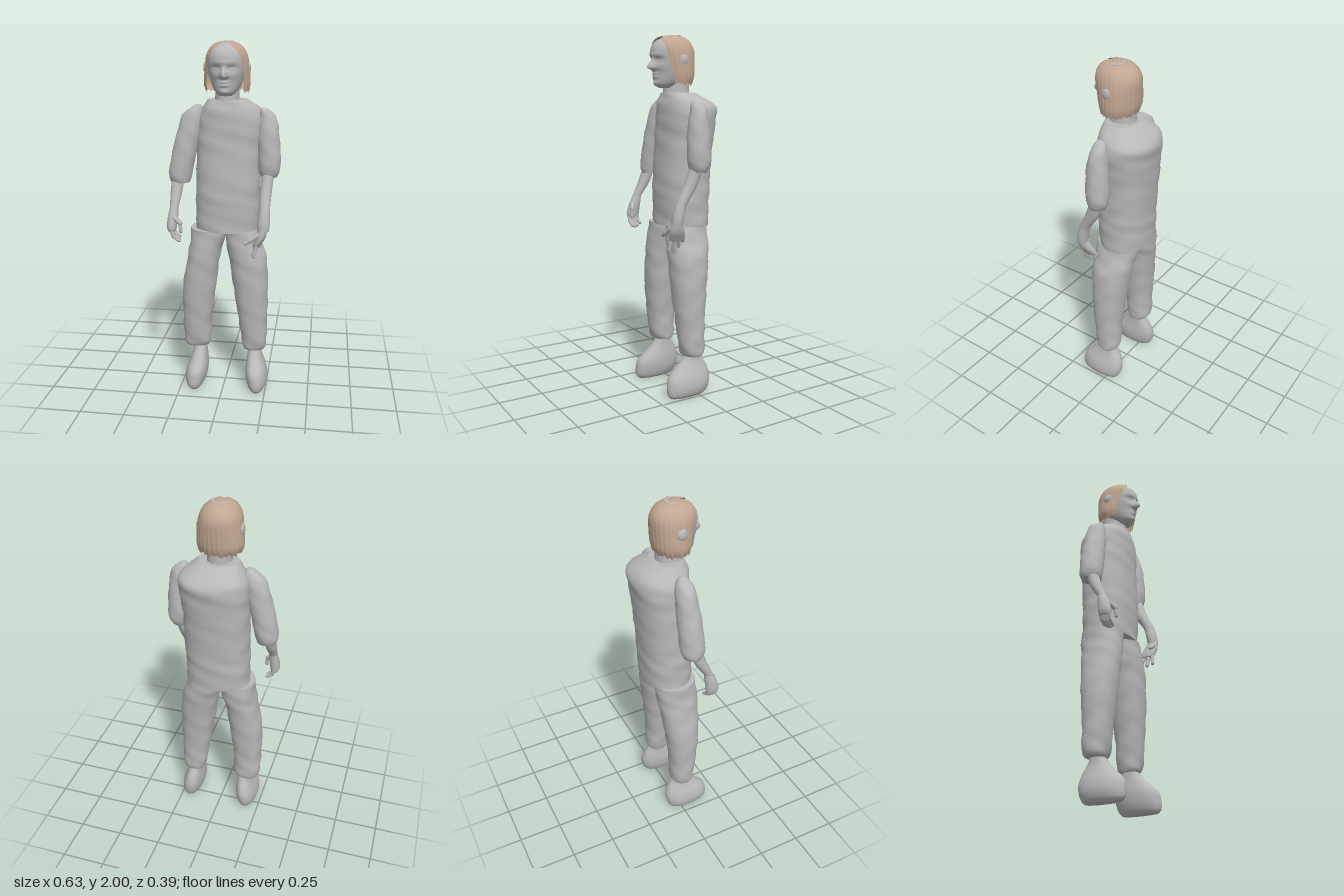
import * as THREE from 'three';

const grey = new THREE.MeshStandardMaterial({ color: 0xb8b8b8 });
grey.name = 'plainGrey';
const tan = new THREE.MeshStandardMaterial({ color: 0xc2a692, side: THREE.DoubleSide });
tan.name = 'hairTan';

const CX = 0.012; // middle of the face
const gauss = (d, w) => Math.exp(-(d * d) / (w * w));

// Catmull-Rom blend of one number of four neighbouring sections
const blend = (a, b, c, d, t) =>
  b + 0.5 * t * (c - a + t * (2 * a - 5 * b + 4 * c - d + t * (3 * (b - c) + d - a)));

// Skin over horizontal sections [y, x0, x1, z0, z1, frontGapDegrees]
function loft(sections, { power = 2, sides = 32, steps = 6, warp = null, open = false } = {}) {
  const s = [...sections].sort((a, b) => a[0] - b[0]);
  const pick = (i) => s[Math.min(Math.max(i, 0), s.length - 1)];
  const pos = [], index = [], rows = (s.length - 1) * steps + 1;
  const cols = open ? sides + 1 : sides;
  const bend = (v) => Math.sign(v) * Math.abs(v) ** (2 / power);
  for (let r = 0; r < rows; r++) {
    const i = Math.min(Math.floor(r / steps), s.length - 2), t = r / steps - i;
    const [y, x0, x1, z0, z1, gap = 0] = s[0].map((_, k) =>
      blend(pick(i - 1)[k], pick(i)[k], pick(i + 1)[k], pick(i + 2)[k], t));
    const g = THREE.MathUtils.degToRad(gap);
    for (let j = 0; j < cols; j++) {
      const a = g + (j / sides) * (2 * Math.PI - 2 * g);
      const p = new THREE.Vector3(
        (x0 + x1) / 2 + ((x1 - x0) / 2) * bend(Math.sin(a)), y,
        (z0 + z1) / 2 + ((z1 - z0) / 2) * bend(Math.cos(a)));
      if (warp) warp(p, a, r / (rows - 1));
      pos.push(p.x, p.y, p.z);
    }
  }
  for (let r = 0; r < rows - 1; r++) {
    for (let j = 0; j < sides; j++) {
      const a = r * cols + j, b = r * cols + ((j + 1) % cols);
      index.push(a, b, b + cols, a, b + cols, a + cols);
    }
  }
  // End caps with their own rim so the edge stays sharp
  if (!open) {
    for (const [row, flip] of [[0, true], [rows - 1, false]]) {
      const start = pos.length / 3, c = [0, 0, 0];
      for (let j = 0; j < cols; j++) {
        for (let k = 0; k < 3; k++) {
          const v = pos[(row * cols + j) * 3 + k];
          c[k] += v / cols;
          pos.push(v);
        }
      }
      pos.push(...c);
      for (let j = 0; j < cols; j++) {
        const a = start + j, b = start + ((j + 1) % cols);
        index.push(start + cols, flip ? b : a, flip ? a : b);
      }
    }
  }
  const geo = new THREE.BufferGeometry();
  geo.setAttribute('position', new THREE.Float32BufferAttribute(pos, 3));
  geo.setIndex(index);
  geo.computeVertexNormals();
  return geo;
}

// Gentle cloth folds
const folds = (amount) => (p, a) => {
  const f = amount * (Math.sin(p.y * 41 + 2 * Math.sin(2 * a)) + Math.sin(p.y * 67 + 3 * a));
  p.x += f * Math.sin(a);
  p.z += f * Math.cos(a);
};

// Brow, eyes, nose, lips and chin raised from the front of the head
function faceRelief(p, a) {
  if (Math.cos(a) <= 0) return;
  const x = p.x - CX, y = p.y, front = Math.cos(a) ** 0.5;
  const up = THREE.MathUtils.smoothstep;
  const nose = up(y, 1.802, 1.82) * (1 - up(y, 1.82, 1.885));
  let d = 0.042 * nose * gauss(x, 0.011 + 0.008 * nose);
  d += 0.005 * gauss(y - 1.89, 0.014) * gauss(x, 0.07);
  for (const side of [-1, 1]) {
    d -= 0.013 * gauss(x - side * 0.043, 0.025) * gauss(y - 1.862, 0.015);
    d += 0.007 * gauss(x - side * 0.043, 0.014) * gauss(y - 1.86, 0.008);
    d += 0.005 * gauss(x - side * 0.05, 0.025) * gauss(y - 1.82, 0.022);
  }
  d += 0.009 * gauss(x, 0.028) * (gauss(y - 1.79, 0.006) + gauss(y - 1.773, 0.007));
  d += 0.008 * gauss(x, 0.025) * gauss(y - 1.738, 0.014);
  p.z += d * front;
}

export function createModel() {
  const model = new THREE.Group();
  const add = (name, geo, material = grey) => {
    const mesh = new THREE.Mesh(geo, material);
    mesh.name = name;
    model.add(mesh);
    return mesh;
  };
  const finger = (name, from, to, radius) => {
    const a = new THREE.Vector3(...from), b = new THREE.Vector3(...to);
    const dir = b.clone().sub(a);
    const m = add(name, new THREE.CapsuleGeometry(radius, dir.length(), 5, 10));
    m.position.copy(a).add(b).multiplyScalar(0.5);
    m.quaternion.setFromUnitVectors(new THREE.Vector3(0, 1, 0), dir.normalize());
  };

  // Body
  add('torso', loft([
    [0.955, -0.17, 0.19, -0.15, 0.12], [1.08, -0.17, 0.193, -0.155, 0.125],
    [1.2, -0.168, 0.195, -0.16, 0.127], [1.4, -0.165, 0.2, -0.175, 0.117],
    [1.53, -0.163, 0.215, -0.187, 0.113], [1.6, -0.155, 0.215, -0.193, 0.11],
    [1.64, -0.135, 0.19, -0.165, 0.108], [1.67, -0.11, 0.15, -0.115, 0.1],
    [1.69, -0.095, 0.125, -0.08, 0.092]], { power: 2.3, sides: 48, warp: folds(0.0016) }));
  add('neck', loft([
    [1.65, -0.06, 0.085, -0.065, 0.095], [1.7, -0.055, 0.078, -0.06, 0.088],
    [1.77, -0.052, 0.075, -0.06, 0.085]]));

  // Head
  add('head', loft([
    [1.715, -0.02, 0.045, 0.05, 0.115], [1.727, -0.036, 0.06, 0.02, 0.14],
    [1.75, -0.056, 0.08, -0.03, 0.15], [1.8, -0.077, 0.101, -0.06, 0.152],
    [1.86, -0.09, 0.113, -0.072, 0.162], [1.92, -0.088, 0.112, -0.072, 0.165],
    [1.96, -0.07, 0.094, -0.05, 0.142], [1.983, -0.04, 0.064, -0.02, 0.1],
    [1.992, -0.01, 0.03, 0.02, 0.06]], { sides: 96, steps: 10, warp: faceRelief }));

  // Hair shell, open over the face, with strands and a ragged hem
  add('hair', loft([
    [1.735, -0.1, 0.13, -0.062, 0.13, 60], [1.78, -0.113, 0.138, -0.077, 0.137, 55],
    [1.86, -0.106, 0.135, -0.083, 0.152, 50], [1.92, -0.098, 0.125, -0.083, 0.165, 47],
    [1.96, -0.08, 0.106, -0.065, 0.153, 36], [1.987, -0.05, 0.075, -0.035, 0.12, 18],
    [1.997, -0.018, 0.04, 0.005, 0.075, 4], [2, 0.01, 0.014, 0.038, 0.042, 0]], {
    sides: 96, open: true,
    warp: (p, a, t) => {
      const f = 0.0015 * Math.sin(a * 29) * (1 - t);
      p.x += f * Math.sin(a);
      p.z += f * Math.cos(a);
      p.y += 0.009 * Math.sin(a * 17) * Math.sin(a * 7) * Math.max(0, 1 - t * 5);
    } }), tan);
  for (const [name, x] of [['rightEar', -0.098], ['leftEar', 0.123]]) {
    const ear = add(name, new THREE.SphereGeometry(1, 20, 14));
    ear.scale.set(0.018, 0.034, 0.03);
    ear.position.set(x, 1.86, 0.035);
  }
  const parting = add('scalpParting', new THREE.TorusGeometry(0.034, 0.011, 8, 20, Math.PI));
  parting.geometry.rotateX(-Math.PI / 2).scale(1.1, 0.4, 1);
  parting.position.set(0.022, 1.994, 0.042);

  // Sleeves
  add('leftSleeve', loft([
    [1.645, 0.2, 0.225, 0, 0.03], [1.63, 0.19, 0.25, -0.02, 0.045],
    [1.59, 0.183, 0.282, -0.033, 0.055], [1.5, 0.18, 0.3, -0.042, 0.074],
    [1.36, 0.182, 0.31, -0.05, 0.08], [1.3, 0.188, 0.305, -0.043, 0.073],
    [1.265, 0.205, 0.288, -0.025, 0.06]], { warp: folds(0.001) }));
  add('rightSleeve', loft([
    [1.66, -0.165, -0.135, 0, 0.03], [1.64, -0.195, -0.125, -0.025, 0.045],
    [1.6, -0.24, -0.12, -0.04, 0.06], [1.5, -0.272, -0.138, -0.048, 0.075],
    [1.38, -0.302, -0.165, -0.05, 0.085], [1.27, -0.318, -0.188, -0.045, 0.088],
    [1.225, -0.308, -0.2, -0.03, 0.078]], { warp: folds(0.001) }));

  // Forearms and palms
  add('leftForearm', loft([
    [1.32, 0.212, 0.278, -0.01, 0.055], [1.2, 0.2, 0.268, 0.02, 0.1],
    [1.1, 0.203, 0.262, 0.085, 0.148], [1.03, 0.195, 0.265, 0.105, 0.168],
    [0.985, 0.198, 0.26, 0.112, 0.172]]));
  add('leftPalm', loft([
    [1, 0.205, 0.252, 0.115, 0.172], [0.95, 0.188, 0.243, 0.09, 0.178],
    [0.91, 0.173, 0.222, 0.075, 0.17], [0.89, 0.17, 0.21, 0.078, 0.162]]));
  add('rightForearm', loft([
    [1.27, -0.298, -0.225, 0, 0.065], [1.17, -0.303, -0.239, 0.032, 0.1],
    [1.09, -0.3, -0.252, 0.085, 0.135], [1.06, -0.302, -0.252, 0.092, 0.145]]));
  add('rightPalm', loft([
    [1.09, -0.3, -0.252, 0.085, 0.135], [1.04, -0.31, -0.252, 0.09, 0.158],
    [0.99, -0.312, -0.258, 0.095, 0.172], [0.965, -0.306, -0.262, 0.098, 0.168]]));

  // Fingers and thumbs
  for (let i = 0; i < 4; i++) {
    const z = 0.087 + i * 0.023, drop = [0.03, 0.01, 0, 0.008][i];
    finger('leftFinger', [0.193, 0.9, z], [0.165 + i * 0.005, 0.835 + drop, z - 0.028 + i * 0.012], 0.0105);
    const zr = 0.108 + i * 0.017;
    finger('rightFinger', [-0.285, 0.975, zr], [-0.272, 0.935 + drop * 0.4, zr], 0.0105);
    finger('rightFingertip', [-0.272, 0.935 + drop * 0.4, zr], [-0.245, 0.912 + drop * 0.6, zr], 0.0095);
  }
  finger('leftThumb', [0.2, 0.965, 0.163], [0.158, 0.935, 0.173], 0.013);
  finger('leftThumbTip', [0.158, 0.935, 0.173], [0.133, 0.92, 0.175], 0.01);
  finger('rightThumb', [-0.27, 1.045, 0.145], [-0.232, 1.02, 0.166], 0.013);
  finger('rightThumbTip', [-0.232, 1.02, 0.166], [-0.227, 0.975, 0.17], 0.01);

  // Trouser legs
  add('rightLeg', loft([
    [0.96, -0.198, 0.012, -0.12, 0.115], [0.88, -0.203, -0.008, -0.118, 0.122],
    [0.78, -0.218, -0.033, -0.103, 0.124], [0.6, -0.248, -0.055, -0.08, 0.115],
    [0.4, -0.248, -0.08, -0.062, 0.096], [0.27, -0.245, -0.085, -0.06, 0.08],
    [0.235, -0.235, -0.095, -0.045, 0.065]], { power: 2.2, warp: folds(0.0016) }));
  add('leftLeg', loft([
    [0.96, -0.005, 0.185, -0.12, 0.115], [0.88, 0.005, 0.208, -0.118, 0.122],
    [0.78, 0.025, 0.24, -0.103, 0.124], [0.6, 0.052, 0.25, -0.08, 0.115],
    [0.4, 0.083, 0.248, -0.062, 0.096], [0.26, 0.102, 0.246, -0.06, 0.08],
    [0.225, 0.112, 0.235, -0.045, 0.065]], { power: 2.2, warp: folds(0.0016) }));

  // Shoes with narrow ankles
  for (const [name, side, cx] of [['rightShoe', -1, -0.152], ['leftShoe', 1, 0.18]]) {
    const row = (y, inner, outer, z0, z1) => {
      const a = cx - side * inner, b = cx + side * outer;
      return [y, Math.min(a, b), Math.max(a, b), z0, z1];
    };
    add(name, loft([
      row(0, 0.02, 0.055, -0.05, 0.165), row(0.02, 0.035, 0.07, -0.07, 0.18),
      row(0.06, 0.048, 0.078, -0.086, 0.182), row(0.11, 0.052, 0.07, -0.09, 0.17),
      row(0.16, 0.047, 0.05, -0.075, 0.12), row(0.2, 0.043, 0.038, -0.05, 0.078),
      row(0.25, 0.042, 0.034, -0.025, 0.045)], { power: 2.2 }));
  }
  return model;
}
